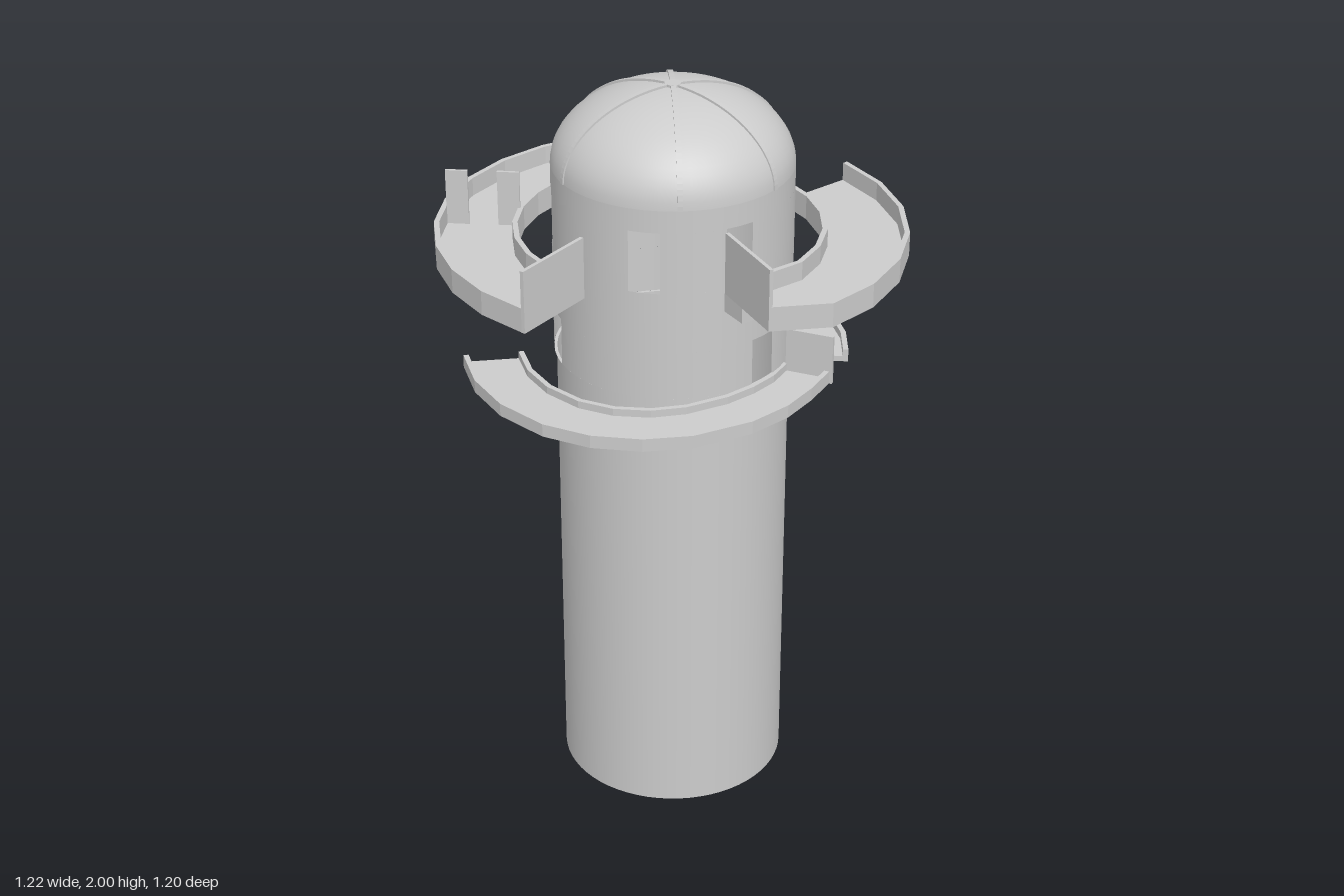
import * as THREE from 'three';

const grey = new THREE.MeshStandardMaterial({ color: 0xcccccc, side: THREE.DoubleSide });
const teal = new THREE.MeshStandardMaterial({ color: 0x80c8ac, side: THREE.DoubleSide });
const rad = THREE.MathUtils.degToRad;

// Angles are in degrees, counter-clockwise seen from above, with 0 at +x.
function add(parent, name, geometry, material = grey) {
  const mesh = new THREE.Mesh(geometry, material);
  mesh.name = name;
  parent.add(mesh);
  return mesh;
}

// Part of an upright round wall
function curvedWall(parent, name, r, a0, a1, y0, y1, material) {
  const segs = Math.max(1, Math.round((a1 - a0) / 7.5));
  const g = new THREE.CylinderGeometry(r, r, y1 - y0, segs, 1, true, rad(a0 + 90), rad(a1 - a0));
  g.translate(0, (y0 + y1) / 2, 0);
  return add(parent, name, g, material);
}

// Round wall with openings given as [from, to] angles
function wallWithOpenings(parent, name, r, y0, y1, openings) {
  openings.forEach(([, end], i) => {
    const next = i + 1 < openings.length ? openings[i + 1][0] : openings[0][0] + 360;
    curvedWall(parent, name, r, end, next, y0, y1);
  });
}

// Upright slab running outward from the axis
function radialBox(parent, name, a, r0, r1, width, y0, y1) {
  const box = add(parent, name, new THREE.BoxGeometry(r1 - r0, y1 - y0, width));
  const r = (r0 + r1) / 2;
  box.position.set(r * Math.cos(rad(a)), (y0 + y1) / 2, -r * Math.sin(rad(a)));
  box.rotation.y = rad(a);
  return box;
}

// Flat curved band; edge is a list of [angle, inner radius, outer radius]
function band(parent, name, edge, y0, y1) {
  const point = (a, r) => new THREE.Vector2(r * Math.cos(rad(a)), r * Math.sin(rad(a)));
  const outline = [
    ...edge.map(([a, , r]) => point(a, r)),
    ...edge.map(([a, r]) => point(a, r)).reverse(),
  ];
  const g = new THREE.ExtrudeGeometry(new THREE.Shape(outline), { depth: y1 - y0, bevelEnabled: false });
  g.rotateX(-Math.PI / 2);
  g.translate(0, y0, 0);
  return add(parent, name, g);
}

// Balcony with a floor and a low parapet along both curved edges
function balcony(parent, name, edge, y0, y1) {
  const group = new THREE.Group();
  group.name = name;
  const t = 0.014;
  band(group, 'floor', edge, y0, y0 + 0.015);
  band(group, 'outerParapet', edge.map(([a, , r]) => [a, r - t, r]), y0, y1);
  band(group, 'innerParapet', edge.map(([a, r]) => [a, r, r + t]), y0, y1);
  parent.add(group);
  return group;
}

// Evenly spaced edge points with constant radii
function arc(a0, a1, steps, inner, outer) {
  return Array.from({ length: steps + 1 }, (_, i) => [a0 + ((a1 - a0) * i) / steps, inner, outer]);
}

export function createModel() {
  const model = new THREE.Group();
  model.name = 'tower';

  // Shaft, drum and dome share one axis
  const core = new THREE.Group();
  core.name = 'core';
  core.position.z = -0.014;
  model.add(core);
  const R = 0.312;

  const shaft = new THREE.CylinderGeometry(0.305, 0.305, 1.27, 64, 1, true);
  shaft.translate(0, 0.635, 0);
  add(core, 'shaft', shaft);

  // Drum with doorways on two levels
  const lowerDoors = [[-14, 0], [87, 100], [224, 239]];
  const upperDoors = [[-75, -60], [-29, -15], [138, 152], [180, 193], [211, 225]];
  wallWithOpenings(core, 'lowerDrumWall', R, 1.27, 1.4, lowerDoors);
  curvedWall(core, 'middleDrumWall', R, 0, 360, 1.4, 1.565);
  wallWithOpenings(core, 'upperDrumWall', R, 1.565, 1.73, upperDoors);
  curvedWall(core, 'drumTop', R, 0, 360, 1.73, 1.79);
  curvedWall(core, 'tintedDoor', R + 0.005, 46, 60, 1.235, 1.4, teal);
  const lip = new THREE.RingGeometry(0.304, R, 48);
  lip.rotateX(Math.PI / 2);
  lip.translate(0, 1.27, 0);
  add(core, 'drumLip', lip);

  // Dome
  const H = 0.204;
  const profile = Array.from({ length: 17 }, (_, i) => {
    const t = (i / 16) * Math.PI / 2;
    return new THREE.Vector2(R * Math.cos(t), 1.79 + H * Math.sin(t));
  });
  add(core, 'dome', new THREE.LatheGeometry(profile, 48));

  // Ribs, each spanning the dome from side to side
  const ribShape = new THREE.Shape();
  ribShape.absellipse(0, 0, R + 0.003, H + 0.006, 0, Math.PI, false);
  ribShape.absellipse(0, 0, R - 0.012, H - 0.01, Math.PI, 0, true);
  for (const a of [0, 64, 129]) {
    const g = new THREE.ExtrudeGeometry(ribShape, { depth: 0.014, bevelEnabled: false, curveSegments: 24 });
    g.translate(0, 1.79, -0.007);
    add(core, 'domeRib', g).rotation.y = rad(a);
  }
  const hub = new THREE.CylinderGeometry(0.022, 0.022, 0.012, 12);
  hub.translate(0, 1.994, 0);
  add(core, 'domeHub', hub);

  // Balconies circle a slightly different axis
  const rings = new THREE.Group();
  rings.name = 'balconies';
  rings.position.z = -0.008;
  model.add(rings);

  // Upper right balcony, from the front to the back, with screens
  const west = balcony(rings, 'upperRightBalcony', arc(134, 270, 10, 0.395, 0.61), 1.555, 1.62);
  radialBox(west, 'endScreen', 270, 0.375, 0.61, 0.01, 1.555, 1.72);
  for (const [x, z] of [[-0.51, 0.243], [-0.395, 0.173]]) {
    const post = add(west, 'screenPost', new THREE.BoxGeometry(0.058, 0.15, 0.008));
    post.position.set(x, 1.645, z);
    post.rotation.y = rad(30);
  }
  radialBox(west, 'bridge', 245, 0.28, 0.395, 0.085, 1.505, 1.555);

  // Upper left balcony
  const eastEdge = [[-28, 0.32, 0.54], [-14, 0.37, 0.605], ...arc(0, 75, 5, 0.387, 0.61)];
  const east = balcony(rings, 'upperLeftBalcony', eastEdge, 1.555, 1.62);
  radialBox(east, 'endScreen', -28, 0.31, 0.54, 0.01, 1.555, 1.72);
  radialBox(east, 'bridge', -22, 0.29, 0.385, 0.075, 1.505, 1.555);

  // Lower front balcony, narrowing in toward the drum
  const frontEdge = [
    [-136, 0.39, 0.548], [-121, 0.39, 0.548], [-106, 0.39, 0.549], [-90, 0.388, 0.548],
    [-76, 0.38, 0.54], [-62, 0.365, 0.525], [-48, 0.345, 0.505], [-29, 0.322, 0.475],
    [-14, 0.312, 0.455], [0, 0.31, 0.44], [14, 0.31, 0.44],
  ];
  const front = balcony(rings, 'lowerFrontBalcony', frontEdge, 1.24, 1.275);
  radialBox(front, 'endScreen', 14, 0.32, 0.447, 0.01, 1.24, 1.375);

  // Lower back balcony
  balcony(rings, 'lowerBackBalcony', arc(30, 93, 5, 0.315, 0.465), 1.24, 1.275);

  return model;
}
